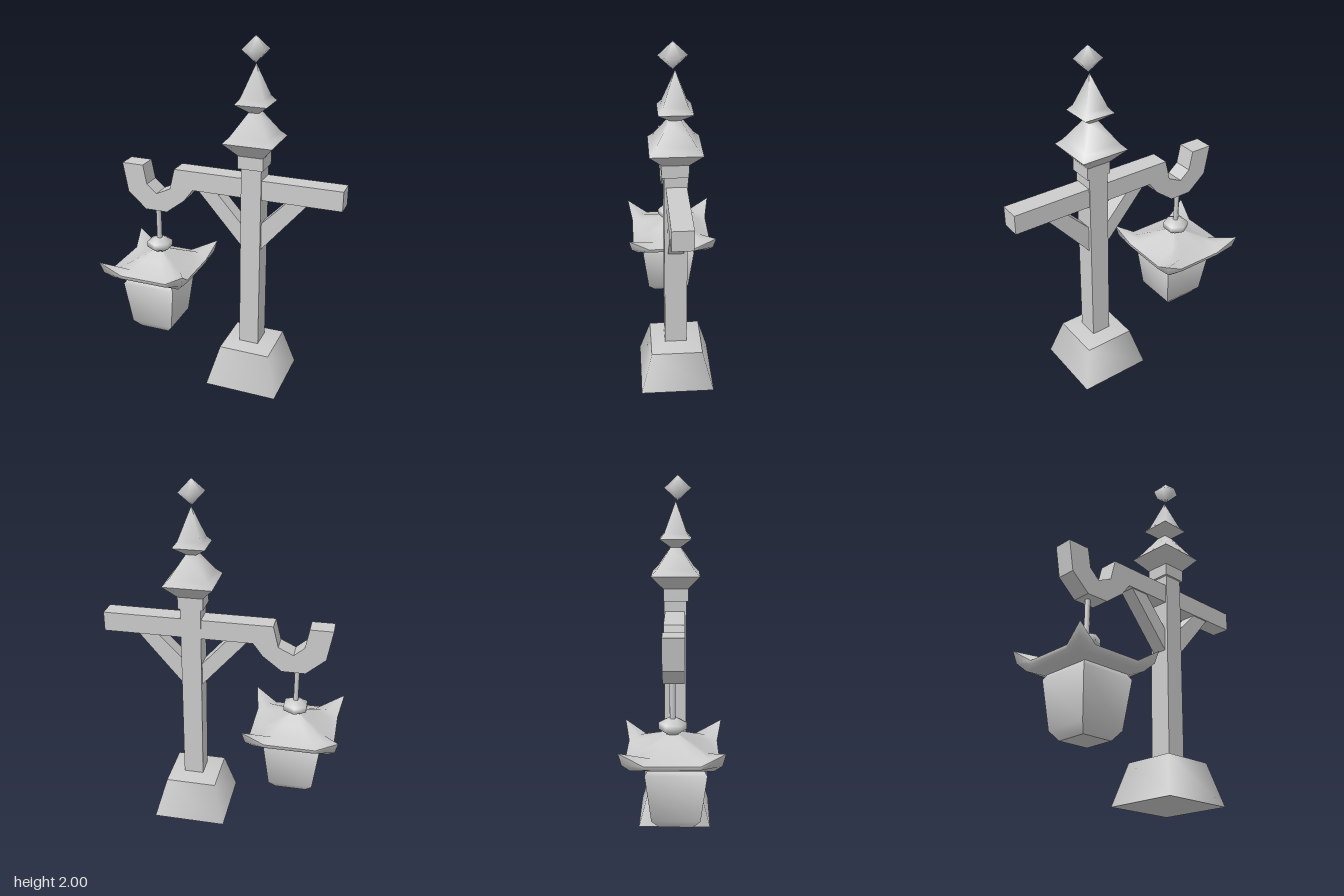
import * as THREE from 'three';
import { toCreasedNormals } from 'three/addons/utils/BufferGeometryUtils.js';

const material = new THREE.MeshStandardMaterial({ color: 0xcccccc });

function add(parent, name, geometry, x = 0, y = 0, z = 0) {
  const mesh = new THREE.Mesh(geometry, material);
  mesh.name = name;
  mesh.position.set(x, y, z);
  parent.add(mesh);
  return mesh;
}

// Profile of [half width, height] from bottom to top; a repeated point makes a hard edge
function turned(profile, sides) {
  const square = sides === 4;
  const k = square ? Math.SQRT2 : 1;
  const points = profile.map(([r, y]) => new THREE.Vector2(r * k, y));
  return new THREE.LatheGeometry(points, sides, square ? Math.PI / 4 : 0);
}

// Flat outline extruded evenly about its middle plane
function slab(outline, depth) {
  const shape = new THREE.Shape(outline.map(([x, y]) => new THREE.Vector2(x, y)));
  const geometry = new THREE.ExtrudeGeometry(shape, { depth, bevelEnabled: false });
  return geometry.translate(0, 0, -depth / 2);
}

// Square rings whose corners and sides have their own reach and height
function eaves(rings) {
  const positions = [];
  const index = [];
  const n = 12;
  for (const { corner, cornerY, along, out, y } of rings) {
    for (let side = 0; side < 4; side++) {
      for (const [px, py, pz] of [[-corner, cornerY, corner], [-along, y, out], [along, y, out]]) {
        let x = px, z = pz;
        for (let turn = 0; turn < side; turn++) [x, z] = [z, -x];
        positions.push(x, py, z);
      }
    }
  }
  for (let i = 0; i < rings.length - 1; i++) {
    for (let j = 0; j < n; j++) {
      const a = i * n + j, b = i * n + (j + 1) % n;
      index.push(a, b, b + n, a, b + n, a + n);
    }
  }
  const geometry = new THREE.BufferGeometry();
  geometry.setAttribute('position', new THREE.Float32BufferAttribute(positions, 3));
  geometry.setIndex(index);
  geometry.computeVertexNormals();
  return geometry;
}

export function createModel() {
  const model = new THREE.Group();
  model.name = 'hangingLanternPost';
  const postX = 0.17;

  // Tapered foot and square post
  add(model, 'base', turned([[0, 0], [0.208, 0], [0.208, 0], [0.145, 0.23], [0.145, 0.23], [0.05, 0.253], [0, 0.253]], 4), postX, 0, 0.005);
  add(model, 'post', new THREE.BoxGeometry(0.113, 1.11, 0.125), postX + 0.001, 0.765, 0.007);
  add(model, 'collar', new THREE.BoxGeometry(0.14, 0.07, 0.14), postX, 1.345, 0.011);

  // Stacked roof tiers and finial
  add(model, 'lowerTier', turned([[0, 1.38], [0.07, 1.38], [0.07, 1.38], [0.136, 1.457], [0.136, 1.457], [0.105, 1.49], [0.03, 1.605], [0, 1.612]], 4), postX, 0, 0.009);
  add(model, 'upperTier', turned([[0, 1.605], [0.026, 1.605], [0.026, 1.605], [0.088, 1.655], [0.088, 1.655], [0.064, 1.685], [0, 1.86]], 4), postX, 0, 0.009);
  add(model, 'finial', turned([[0, 1.86], [0.075, 1.93], [0, 2]], 6), postX, 0, 0.02);

  // Crossbeam ending in a hook
  add(model, 'hookedBeam', slab([
    [-0.6, 1.25], [-0.57, 1.08], [-0.463, 0.987], [-0.333, 0.987], [-0.225, 1.07],
    [-0.172, 1.14], [0.667, 1.14], [0.667, 1.25], [-0.28, 1.25], [-0.31, 1.13],
    [-0.394, 1.09], [-0.452, 1.14], [-0.473, 1.25],
  ], 0.11), 0, 0, 0.005);

  // Diagonal braces under the beam
  add(model, 'rightBrace', slab([[-0.145, 1.145], [0.117, 0.845], [0.117, 0.975], [-0.034, 1.145]], 0.086), 0, 0, 0.008);
  add(model, 'leftBrace', slab([[0.481, 1.145], [0.368, 1.145], [0.226, 1], [0.226, 0.845]], 0.086), 0, 0, 0.008);

  // Hanging lantern
  const lantern = new THREE.Group();
  lantern.name = 'lantern';
  lantern.position.x = -0.414;
  model.add(lantern);
  add(lantern, 'hangingRod', new THREE.CylinderGeometry(0.015, 0.015, 0.23, 6), 0, 0.89, 0);
  add(lantern, 'knob', turned([[0, 0.71], [0.03, 0.71], [0.073, 0.735], [0.073, 0.77], [0.03, 0.792], [0, 0.792]], 6));

  // Lantern roof: upswept corners, with separate top and underside for a sharp rim
  const rim = { corner: 0.261, cornerY: 0.7, along: 0.14, out: 0.235, y: 0.622 };
  add(lantern, 'roofUnderside', eaves([
    { corner: 0.01, cornerY: 0.566, along: 0.005, out: 0.01, y: 0.566 },
    { corner: 0.145, cornerY: 0.567, along: 0.09, out: 0.145, y: 0.567 },
    { corner: 0.208, cornerY: 0.59, along: 0.12, out: 0.205, y: 0.587 },
    { corner: 0.245, cornerY: 0.632, along: 0.135, out: 0.233, y: 0.602 },
    rim,
  ]));
  add(lantern, 'roofTop', eaves([
    rim,
    { corner: 0.175, cornerY: 0.643, along: 0.1, out: 0.175, y: 0.64 },
    { corner: 0.1, cornerY: 0.68, along: 0.05, out: 0.1, y: 0.68 },
    { corner: 0.03, cornerY: 0.716, along: 0.015, out: 0.03, y: 0.716 },
  ]));

  // Lantern body: sharp corners, softly rounded from top to bottom
  const body = turned([[0, 0.23], [0.088, 0.23], [0.126, 0.28], [0.157, 0.54], [0.138, 0.57], [0, 0.57]], 4);
  add(lantern, 'lanternBody', toCreasedNormals(body, 0.8), 0, 0, 0.018);

  return model;
}
